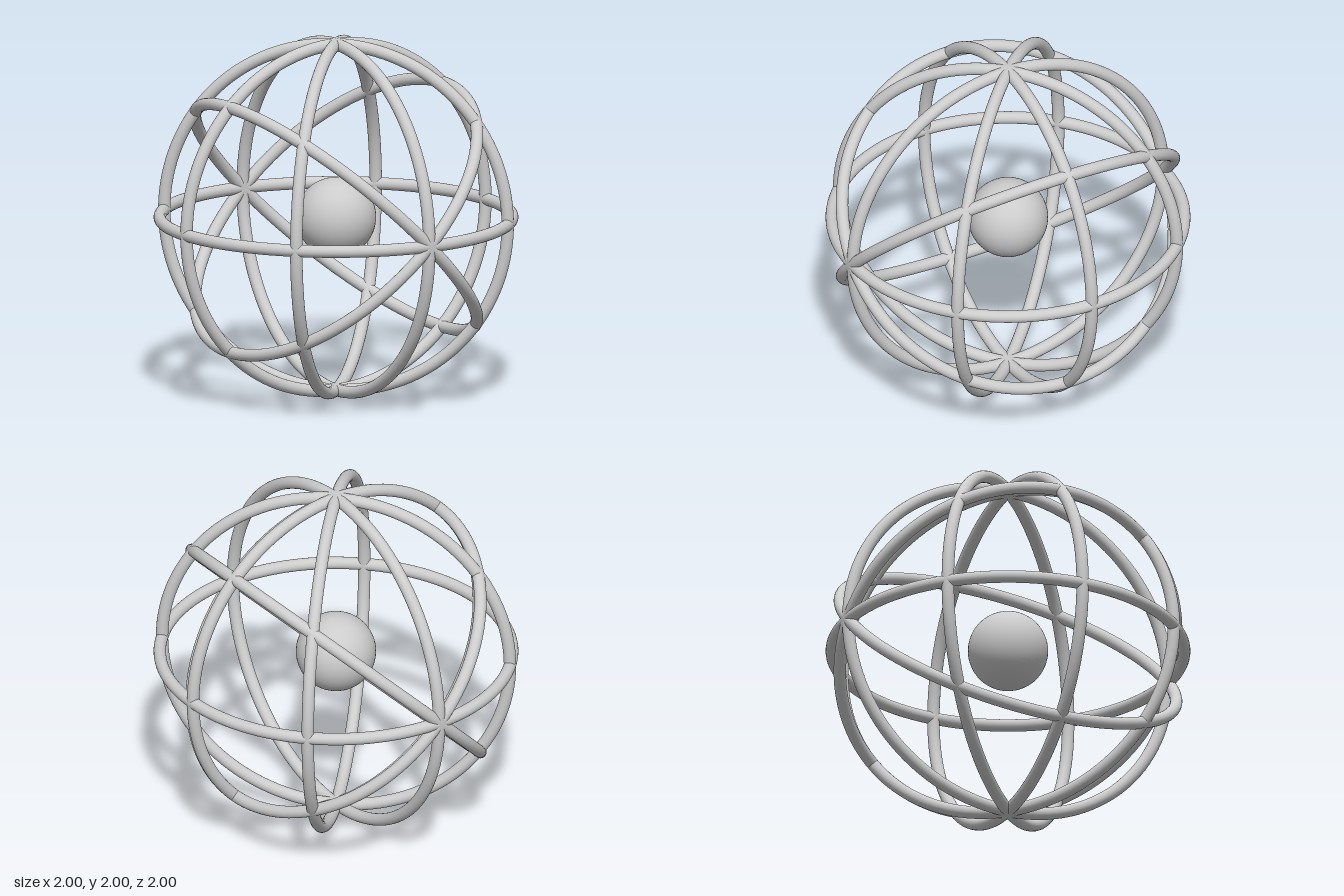
import * as THREE from 'three';

const TUBE = 0.034;
const RADIUS = 1 - TUBE;

export function createModel() {
  const model = new THREE.Group();
  model.name = 'sphericalCage';
  const material = new THREE.MeshStandardMaterial({ color: 0xcccccc });
  const ringGeometry = new THREE.TorusGeometry(RADIUS, TUBE, 20, 128);

  // All rings are great circles about the centre
  function addRing(name, rx, ry) {
    const ring = new THREE.Mesh(ringGeometry, material);
    ring.name = name;
    ring.rotation.set(rx, ry, 0);
    ring.position.y = 1;
    model.add(ring);
  }

  // Four upright rings meeting at the top and bottom
  for (let i = 0; i < 4; i++) addRing(`meridianRing${i + 1}`, 0, (i * Math.PI) / 4);

  // Level ring and two tilted rings meeting at the front and back
  addRing('equatorRing', Math.PI / 2, 0);
  for (const side of [-1, 1]) {
    addRing(side < 0 ? 'tiltedRingRight' : 'tiltedRingLeft', Math.PI / 2, (side * Math.PI) / 4);
  }

  // Ball floating in the middle
  const core = new THREE.Mesh(new THREE.SphereGeometry(0.22, 48, 32), material);
  core.name = 'coreBall';
  core.position.y = 1;
  model.add(core);

  return model;
}
